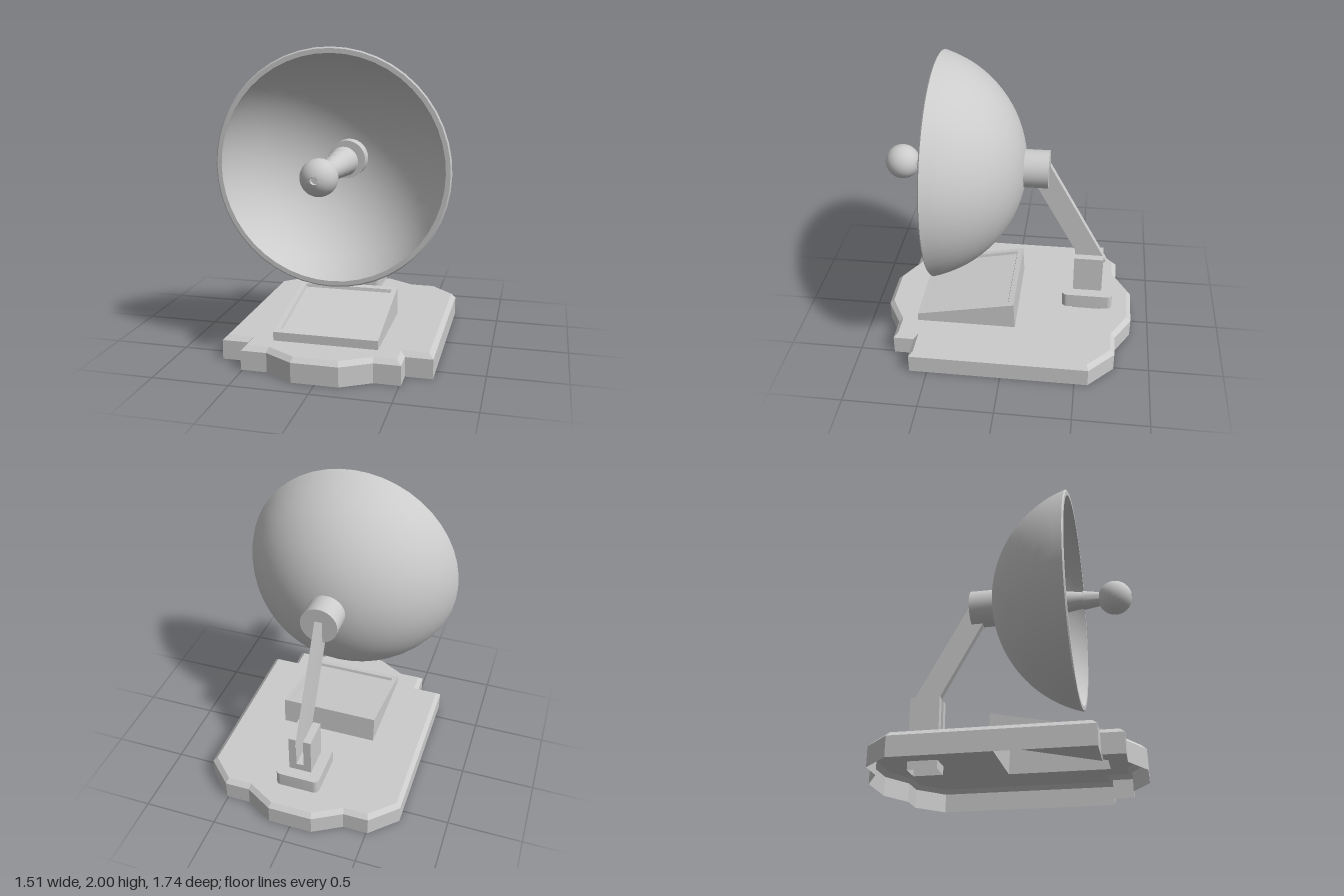
import * as THREE from 'three';
import { toCreasedNormals } from 'three/addons/utils/BufferGeometryUtils.js';

const mat = new THREE.MeshStandardMaterial({ color: 0xcccccc });
const matDouble = new THREE.MeshStandardMaterial({ color: 0xcccccc, side: THREE.DoubleSide });

function add(parent, name, geometry, material = mat) {
  const mesh = new THREE.Mesh(geometry, material);
  mesh.name = name;
  parent.add(mesh);
  return mesh;
}

// Flat-faced skin between successive loops of [x, y, z], counter-clockwise from above.
function skin(loops, capped = false) {
  const pos = [];
  const quad = (a, b, c, d) => pos.push(...a, ...b, ...c, ...a, ...c, ...d);
  for (let k = 0; k < loops.length - 1; k++) {
    const lo = loops[k], hi = loops[k + 1], n = lo.length;
    for (let i = 0; i < n; i++) {
      const j = (i + 1) % n;
      quad(lo[i], lo[j], hi[j], hi[i]);
    }
  }
  if (capped) quad(...loops[loops.length - 1]);
  const g = new THREE.BufferGeometry();
  g.setAttribute('position', new THREE.Float32BufferAttribute(pos, 3));
  g.computeVertexNormals();
  return g;
}

// Rectangle loop; the height may vary from front to back.
function rect(w, zFront, zBack, yFront, yBack = yFront) {
  return [[-w, yFront, zFront], [w, yFront, zFront], [w, yBack, zBack], [-w, yBack, zBack]];
}

// Move every edge of a counter-clockwise outline inward.
function inset(points, d) {
  const n = points.length;
  return points.map((p, i) => {
    const normal = (a, b) => {
      const l = Math.hypot(b[0] - a[0], b[1] - a[1]);
      return [-(b[1] - a[1]) / l, (b[0] - a[0]) / l];
    };
    const m = normal(points[(i + n - 1) % n], p);
    const k = normal(p, points[(i + 1) % n]);
    const s = d / (1 + m[0] * k[0] + m[1] * k[1]);
    return [p[0] + (m[0] + k[0]) * s, p[1] + (m[1] + k[1]) * s];
  });
}

// Turned part with its axis along z; profile points are [radius, z].
function turned(profile, segments = 40) {
  const g = new THREE.LatheGeometry(profile.map(([r, z]) => new THREE.Vector2(r, z)), segments);
  g.rotateX(Math.PI / 2);
  return toCreasedNormals(g, 0.6);
}

function shapeOf(points) {
  return new THREE.Shape(points.map(([x, y]) => new THREE.Vector2(x, y)));
}

function buildBase(group) {
  const half = [[0.15, -0.87], [0.34, -0.76], [0.51, -0.76], [0.51, -0.62], [0.685, -0.62],
    [0.685, 0.59], [0.51, 0.76], [0.34, 0.76], [0.15, 0.87]];
  const outline = [...half, ...half.map(([x, y]) => [-x, y]).reverse()];
  const top = inset(outline, 0.03);
  const at = (pts, y) => pts.map(([x, v]) => [x, y, -v]);
  add(group, 'baseWall', skin([at(outline, 0), at(outline, 0.128), at(top, 0.157)]), matDouble);

  // Top plate, open below the console
  const plate = shapeOf(top);
  plate.holes.push(shapeOf([[-0.34, -0.62], [-0.34, 0.065], [0.34, 0.065], [0.34, -0.62]]));
  const g = new THREE.ShapeGeometry(plate);
  g.rotateX(-Math.PI / 2);
  g.translate(0, 0.157, 0);
  add(group, 'baseTop', g, matDouble);
}

function buildConsole(group) {
  // Sloping top with a shallow recessed panel
  const slope = (z) => 0.215 + (0.62 - z) * 0.2;
  const ring = (w, zf, zb, drop) => rect(w, zf, zb, slope(zf) - drop, slope(zb) - drop);
  add(group, 'slopedConsole', skin([
    rect(0.34, 0.62, -0.065, 0.157),
    ring(0.34, 0.62, -0.055, 0),
    ring(0.305, 0.575, -0.015, 0),
    ring(0.3, 0.57, -0.01, 0.022),
  ], true), matDouble);
}

function buildStand(group) {
  // Hollow foot through the base
  add(group, 'postFoot', skin([rect(0.075, -0.45, -0.65, 0.1), rect(0.075, -0.45, -0.65, 0.24)]), matDouble);

  // Collar with rounded corners
  const w = 0.15, h = 0.175, r = 0.035;
  const s = new THREE.Shape();
  s.moveTo(-w + r, -h);
  s.lineTo(w - r, -h).absarc(w - r, -h + r, r, -Math.PI / 2, 0);
  s.lineTo(w, h - r).absarc(w - r, h - r, r, 0, Math.PI / 2);
  s.lineTo(-w + r, h).absarc(-w + r, h - r, r, Math.PI / 2, Math.PI);
  s.lineTo(-w, -h + r).absarc(-w + r, -h + r, r, Math.PI, Math.PI * 1.5);
  const collar = new THREE.ExtrudeGeometry(s, { depth: 0.1, bevelEnabled: false, curveSegments: 5 });
  collar.rotateX(-Math.PI / 2);
  collar.translate(0, 0.225, -0.553);
  add(group, 'postCollar', toCreasedNormals(collar, 0.6));

  // Forked post holding the arm
  const fork = new THREE.ExtrudeGeometry(shapeOf([[-0.077, 0.3], [0.077, 0.3], [0.077, 0.59],
    [0.025, 0.59], [0.025, 0.375], [-0.025, 0.375], [-0.025, 0.59], [-0.077, 0.59]]),
  { depth: 0.2, bevelEnabled: false });
  fork.translate(0, 0, -0.65);
  add(group, 'forkedPost', fork);

  // Leaning arm
  const length = 0.84, angle = Math.atan2(0.415, 0.755);
  const arm = add(group, 'supportArm', new THREE.BoxGeometry(0.05, length, 0.152));
  arm.rotation.x = angle;
  arm.position.set(0, 0.508 + Math.cos(angle) * length / 2, -0.603 + Math.sin(angle) * length / 2);
}

function buildDish(group) {
  const dish = new THREE.Group();
  dish.name = 'dish';
  dish.position.y = 1.246;
  group.add(dish);

  // Spherical bowl: outer skin, rim, inner skin
  const arc = (radius, edge) => {
    const end = Math.asin(edge / radius), pts = [];
    for (let i = 0; i <= 18; i++) {
      const a = end * i / 18;
      pts.push([radius * Math.sin(a), 0.68 - radius * Math.cos(a)]);
    }
    return pts;
  };
  const profile = [...arc(0.785, 0.754), [0.745, 0.47], [0.716, 0.47], ...arc(0.748, 0.712).reverse()];
  add(dish, 'bowl', turned(profile, 48));

  add(dish, 'hub', turned([[0, -0.257], [0.127, -0.257], [0.127, 0.04], [0, 0.04]]));

  // Telescoping feed, each section flaring toward the bowl
  for (let i = 0; i < 4; i++) {
    const z = 0.515 - i * 0.13, grow = i * 0.011;
    add(dish, 'feedSection' + (i + 1), turned(
      [[0, z], [0.065 + grow, z], [0.044 + grow, z + 0.135], [0, z + 0.135]], 28));
  }

  // Ball tip with a small bore at the front
  const ball = [], radius = 0.115, bore = 0.024;
  const end = Math.PI - Math.asin(bore / radius);
  for (let i = 0; i <= 20; i++) {
    const a = end * i / 20;
    ball.push([radius * Math.sin(a), 0.73 - radius * Math.cos(a)]);
  }
  ball.push([bore, 0.81], [0, 0.81]);
  add(dish, 'feedBall', turned(ball, 32));
}

export function createModel() {
  const model = new THREE.Group();
  model.name = 'dishAntenna';
  buildBase(model);
  buildConsole(model);
  buildStand(model);
  buildDish(model);
  return model;
}
